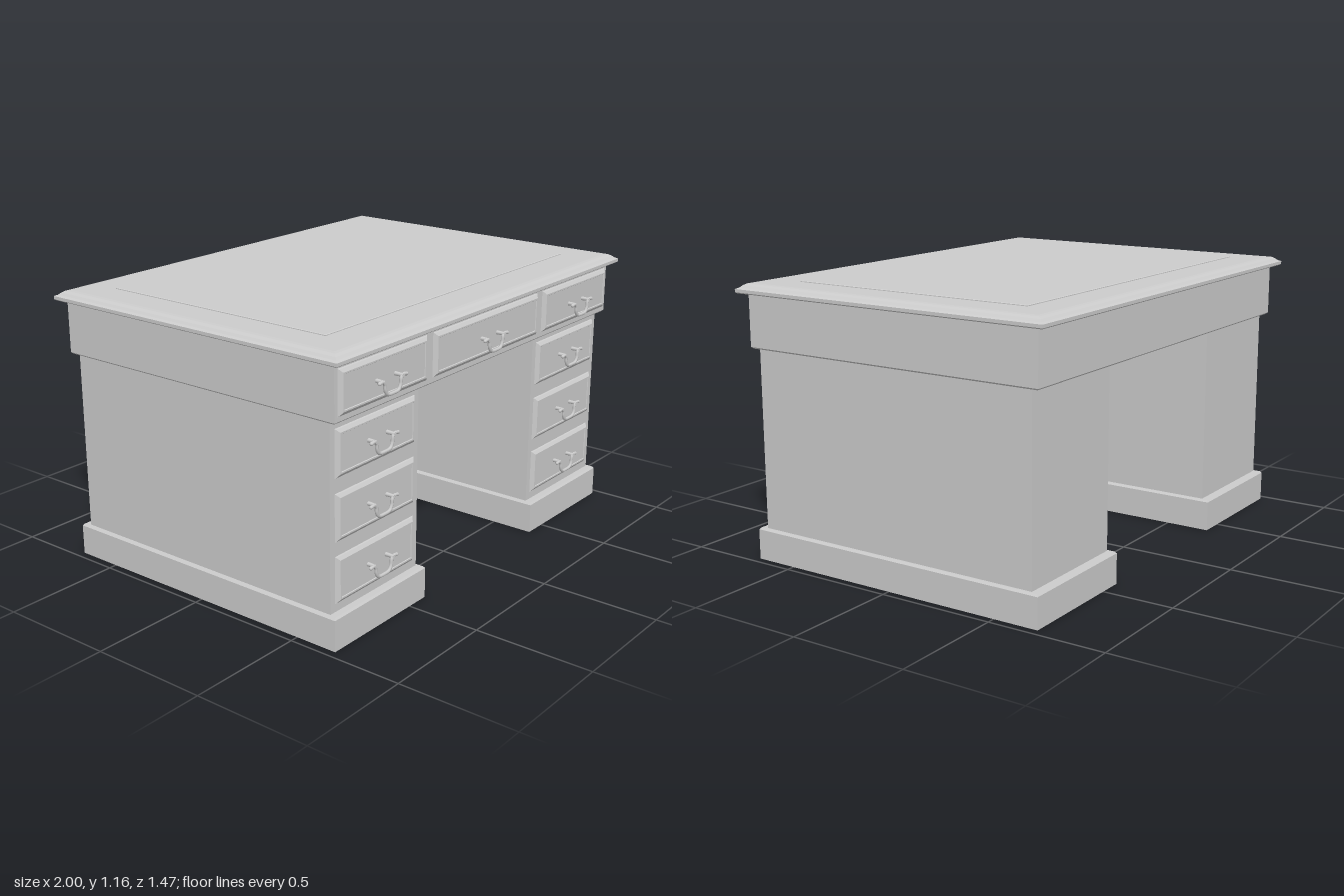
import * as THREE from 'three';

const material = new THREE.MeshStandardMaterial({ color: 0xcccccc, side: THREE.DoubleSide });

function add(parent, geometry, name, x = 0, y = 0, z = 0) {
  const mesh = new THREE.Mesh(geometry, material);
  mesh.name = name;
  mesh.position.set(x, y, z);
  parent.add(mesh);
  return mesh;
}

// Loft through rectangles [halfWidth, halfDepth, y], listed from bottom to top
function rectLoft(rings, capBottom, capTop) {
  const pos = [];
  const loops = rings.map(([w, d, y]) => [[-w, y, d], [w, y, d], [w, y, -d], [-w, y, -d]]);
  const quad = (a, b, c, d) => pos.push(...a, ...b, ...c, ...a, ...c, ...d);
  for (let i = 0; i + 1 < loops.length; i++) {
    for (let k = 0; k < 4; k++) {
      const n = (k + 1) % 4;
      quad(loops[i][k], loops[i][n], loops[i + 1][n], loops[i + 1][k]);
    }
  }
  if (capTop) quad(...loops[loops.length - 1]);
  if (capBottom) quad(...[...loops[0]].reverse());
  const geometry = new THREE.BufferGeometry();
  geometry.setAttribute('position', new THREE.Float32BufferAttribute(pos, 3));
  geometry.computeVertexNormals();
  return geometry;
}

// Swan-neck bail with two bolts, hanging from y = 0
function createHandle() {
  const handle = new THREE.Group();
  handle.name = 'handle';
  const half = [[0.08, 0.002], [0.062, 0.004], [0.05, -0.006], [0.046, -0.03], [0.034, -0.048]];
  const points = [
    ...half.map(([x, y]) => new THREE.Vector3(-x, y, 0.03)),
    new THREE.Vector3(0, -0.052, 0.03),
    ...half.slice().reverse().map(([x, y]) => new THREE.Vector3(x, y, 0.03)),
  ];
  add(handle, new THREE.TubeGeometry(new THREE.CatmullRomCurve3(points), 40, 0.007, 8), 'bail');
  for (const s of [-1, 1]) {
    add(handle, new THREE.SphereGeometry(0.0075, 10, 8), 'bailEnd', s * 0.08, 0.002, 0.03);
    const bolt = new THREE.CylinderGeometry(0.007, 0.009, 0.046, 10).rotateX(Math.PI / 2);
    add(handle, bolt, 'bolt', s * 0.056, 0.002, 0.013);
  }
  return handle;
}

// Bevelled drawer front with its handle
function createDrawer(parent, x, y, z, w, h, handleY) {
  const drawer = new THREE.Group();
  drawer.name = 'drawer';
  drawer.position.set(x, y, z);
  const a = w / 2, b = h / 2;
  const front = rectLoft([
    [a, b, 0], [a - 0.003, b - 0.003, 0.004], [a - 0.016, b - 0.016, 0.014], [a - 0.022, b - 0.022, 0.014],
    [a - 0.024, b - 0.024, 0.011],
  ], false, true).rotateX(Math.PI / 2);
  add(drawer, front, 'drawerFront');
  const handle = createHandle();
  handle.position.set(0, handleY, 0.013);
  drawer.add(handle);
  parent.add(drawer);
}

function createPedestal(side) {
  const pedestal = new THREE.Group();
  pedestal.name = side > 0 ? 'leftPedestal' : 'rightPedestal';
  pedestal.position.x = side * 0.682;

  // Hollow plinth with a chamfered top edge
  const plinth = rectLoft([[0.284, 0.69, 0], [0.284, 0.69, 0.128], [0.277, 0.683, 0.136], [0.264, 0.65, 0.136]]);
  add(pedestal, plinth, 'plinth', 0, 0, -0.005);

  // Side and back walls
  for (const s of [-1, 1]) {
    add(pedestal, new THREE.BoxGeometry(0.016, 0.765, 1.309), 'sideWall', s * 0.26, 0.5125, -0.005);
  }
  add(pedestal, new THREE.BoxGeometry(0.52, 0.765, 0.016), 'backWall', 0, 0.5125, -0.6515);

  // Front frame with three drawer openings
  const centres = [0.264, 0.512, 0.762], w = 0.48, h = 0.191;
  const rect = (Type, x0, x1, y0, y1) => new Type([
    new THREE.Vector2(x0, y0), new THREE.Vector2(x1, y0), new THREE.Vector2(x1, y1), new THREE.Vector2(x0, y1),
  ]);
  const frame = rect(THREE.Shape, -0.268, 0.268, 0.13, 0.895);
  for (const y of centres) frame.holes.push(rect(THREE.Path, -w / 2, w / 2, y - h / 2, y + h / 2));
  add(pedestal, new THREE.ExtrudeGeometry(frame, { depth: 0.016, bevelEnabled: false }), 'frontFrame', 0, 0, 0.634);
  for (const y of centres) createDrawer(pedestal, 0, y, 0.65, w, h, 0);
  return pedestal;
}

export function createModel() {
  const desk = new THREE.Group();
  desk.name = 'pedestalDesk';

  // Moulded top
  const top = rectLoft([
    [0.975, 0.705, 1.113], [0.993, 0.723, 1.115], [1, 0.73, 1.12], [1, 0.73, 1.133], [0.988, 0.718, 1.138],
    [0.978, 0.708, 1.147], [0.966, 0.696, 1.154], [0.95, 0.68, 1.156],
  ], true, true);
  add(desk, top, 'top', 0, 0, -0.005);

  // Raised writing surface
  const inset = rectLoft([[0.826, 0.545, 1.155], [0.826, 0.545, 1.159], [0.822, 0.541, 1.161]], false, true);
  add(desk, inset, 'writingSurface', 0, 0, -0.012);

  // Drawer case below the top
  const apron = rectLoft([[0.957, 0.682, 0.89], [0.965, 0.69, 0.897], [0.965, 0.69, 1.114]], true, true);
  add(desk, apron, 'drawerCase', 0, 0, -0.005);
  for (const [x, w] of [[-0.682, 0.53], [0, 0.748], [0.682, 0.53]]) {
    createDrawer(desk, x, 1.005, 0.685, w, 0.178, -0.008);
  }

  for (const side of [-1, 1]) desk.add(createPedestal(side));
  return desk;
}
